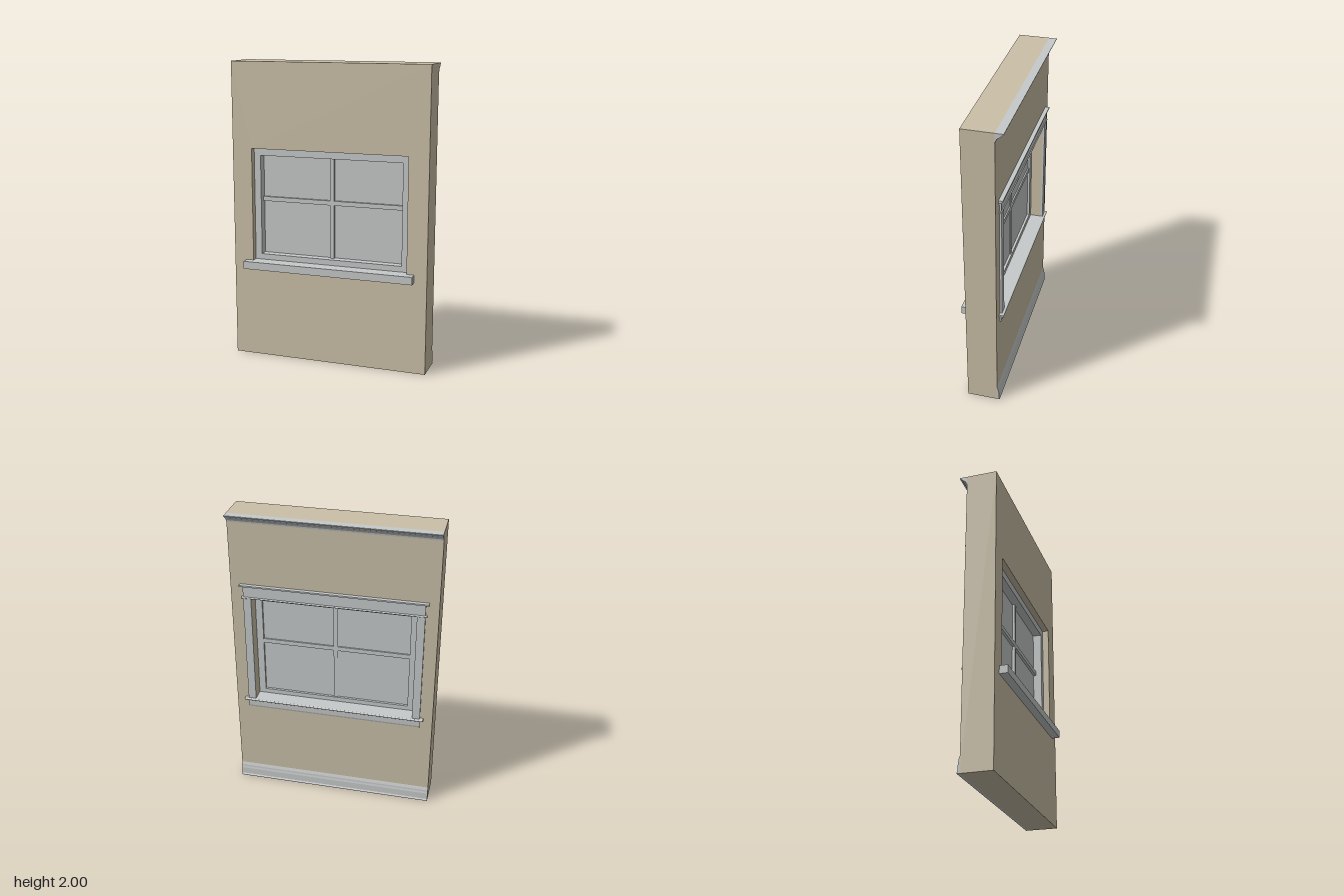
import * as THREE from 'three';

const wallPaint = new THREE.MeshStandardMaterial({ color: 0xcbc0a8 });
wallPaint.name = 'beige wall';
const trimPaint = new THREE.MeshStandardMaterial({ color: 0xc7caca });
trimPaint.name = 'pale grey trim';

const WALL = { half: 0.67, front: 0.098, back: -0.102 };
const HOLE = { half: 0.535, bottom: 0.665, top: 1.43 };

function add(parent, name, geometry, material = trimPaint) {
  const mesh = new THREE.Mesh(geometry, material);
  mesh.name = name;
  parent.add(mesh);
  return mesh;
}

// Box given by its lower and upper limits on each axis
function box(parent, name, [x0, x1], [y0, y1], [z0, z1]) {
  const mesh = add(parent, name, new THREE.BoxGeometry(x1 - x0, y1 - y0, z1 - z0));
  mesh.position.set((x0 + x1) / 2, (y0 + y1) / 2, (z0 + z1) / 2);
  return mesh;
}

// Moulding: profile of [distance out from the back wall face, height], run along x
function moulding(parent, name, half, profile) {
  const shape = new THREE.Shape(profile.map(([u, y]) => new THREE.Vector2(u, y)));
  const geometry = new THREE.ExtrudeGeometry(shape, { depth: 2 * half, bevelEnabled: false });
  geometry.translate(0, 0, -half);
  geometry.rotateY(Math.PI / 2);
  const mesh = add(parent, name, geometry);
  mesh.position.z = WALL.back;
  return mesh;
}

// Strip with a half-round nose, reaching from inner to outer
function nosing(inner, outer, y0, y1) {
  const r = (y1 - y0) / 2;
  const points = [[inner, y1], [inner, y0]];
  for (let i = 0; i <= 6; i++) {
    const a = -Math.PI / 2 + (Math.PI * i) / 6;
    points.push([outer - r + r * Math.cos(a), y0 + r + r * Math.sin(a)]);
  }
  return points;
}

function rectanglePath(PathType, half, y0, y1) {
  return new PathType([[-half, y0], [half, y0], [half, y1], [-half, y1]]
    .map(([x, y]) => new THREE.Vector2(x, y)));
}

// Flat panel with a rectangular opening
function panelWithHole(outer, inner, z0, z1) {
  const shape = rectanglePath(THREE.Shape, ...outer);
  shape.holes.push(rectanglePath(THREE.Path, ...inner));
  const geometry = new THREE.ExtrudeGeometry(shape, { depth: z1 - z0, bevelEnabled: false });
  return geometry.translate(0, 0, z0);
}

export function createModel() {
  const model = new THREE.Group();
  model.name = 'wallWithWindow';

  // Wall
  add(model, 'wall', panelWithHole([WALL.half, 0, 2],
    [HOLE.half, HOLE.bottom, HOLE.top], WALL.back, WALL.front), wallPaint);

  // Window unit
  const sash = new THREE.Group();
  sash.name = 'window';
  model.add(sash);
  add(sash, 'windowFrame', panelWithHole([HOLE.half, HOLE.bottom, HOLE.top],
    [0.49, 0.705, 1.38], -0.028, 0.055));
  box(sash, 'pane', [-0.49, 0.49], [0.705, 1.38], [-0.012, -0.003]);
  box(sash, 'verticalGlazingBar', [-0.014, 0.014], [0.705, 1.38], [-0.021, 0.015]);
  for (const side of [-1, 1]) {
    const ends = [side * 0.014, side * 0.49].sort((a, b) => a - b);
    box(sash, 'horizontalGlazingBar', ends, [1.065, 1.095], [-0.021, 0.015]);
  }

  // Outer sill
  box(model, 'outerSill', [-0.585, 0.585], [0.615, 0.667], [0.05, 0.152]);

  // Inner casing
  const casing = new THREE.Group();
  casing.name = 'innerCasing';
  model.add(casing);
  for (const side of [-1, 1]) {
    const span = [side * HOLE.half, side * 0.587].sort((a, b) => a - b);
    box(casing, 'sideCasing', span, [0.672, 1.43], [-0.116, WALL.back]);
  }
  box(casing, 'headCasing', [-0.587, 0.587], [1.441, 1.512], [-0.114, WALL.back]);
  moulding(casing, 'headBead', 0.597, nosing(0, 0.018, 1.429, 1.441));
  moulding(casing, 'headCap', 0.607, [[0, 1.526], [0, 1.51], [0.015, 1.51],
    [0.02, 1.514], [0.027, 1.516], [0.027, 1.526]]);
  moulding(casing, 'stoolNose', 0.61, nosing(0, 0.03, 0.66, 0.674));
  box(casing, 'stoolBoard', [-HOLE.half, HOLE.half], [0.66, 0.674], [WALL.back, -0.026]);
  moulding(casing, 'apron', 0.587, [[0, 0.66], [0, 0.602], [0.007, 0.602],
    [0.011, 0.615], [0.012, 0.66]]);

  // Crown moulding
  moulding(model, 'crownMoulding', WALL.half, [[0, 2], [0, 1.944], [0.004, 1.944],
    [0.006, 1.954], [0.012, 1.964], [0.022, 1.972], [0.032, 1.979],
    [0.038, 1.988], [0.044, 1.99], [0.051, 1.996], [0.051, 2]]);

  // Baseboard
  moulding(model, 'baseboard', WALL.half, [[0, 0.105], [0, 0], [0.017, 0],
    [0.017, 0.006], [0.012, 0.014], [0.011, 0.06], [0.008, 0.072],
    [0.007, 0.085], [0.003, 0.097]]);

  return model;
}
